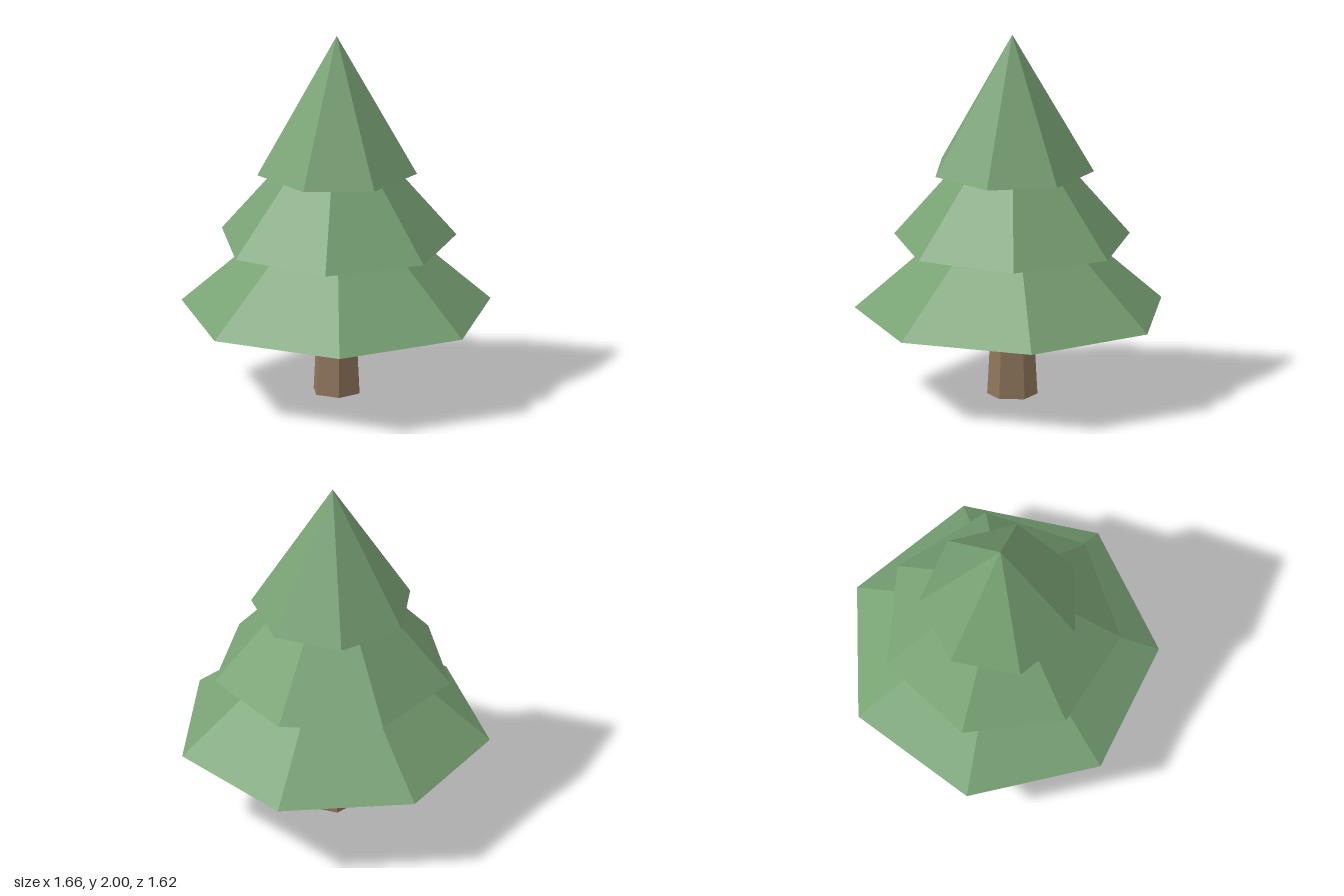
import * as THREE from 'three';

export function createModel() {
  const tree = new THREE.Group();
  tree.name = 'pineTree';

  const needles = new THREE.MeshStandardMaterial({ color: 0x78a274, flatShading: true });
  needles.name = 'needleGreen';
  const bark = new THREE.MeshStandardMaterial({ color: 0x8f765c, flatShading: true });
  bark.name = 'barkBrown';

  // Tapered part standing on height y, turned about its own axis
  function addPart(name, material, topRadius, bottomRadius, y, height, sides, turn) {
    const geometry = new THREE.CylinderGeometry(
      topRadius, bottomRadius, height, sides, 1, false, THREE.MathUtils.degToRad(turn));
    geometry.translate(0, y + height / 2, 0);
    const mesh = new THREE.Mesh(geometry, material);
    mesh.name = name;
    mesh.position.set(0.002, 0, 0.038);
    tree.add(mesh);
  }

  // Six-sided trunk, its top tucked inside the lowest tier
  addPart('trunk', bark, 0.108, 0.135, 0, 0.5, 6, 30);

  // Seven-sided foliage tiers: name, radius, base height, height, turn
  const tiers = [
    ['lowerFoliage', 0.85, 0.455, 0.765, 25.1],
    ['middleFoliage', 0.648, 0.853, 0.767, 18.7],
    ['upperFoliage', 0.44, 1.25, 0.75, 0],
  ];
  for (const [name, radius, y, height, turn] of tiers) {
    addPart(name, needles, 0, radius, y, height, 7, turn);
  }

  return tree;
}
